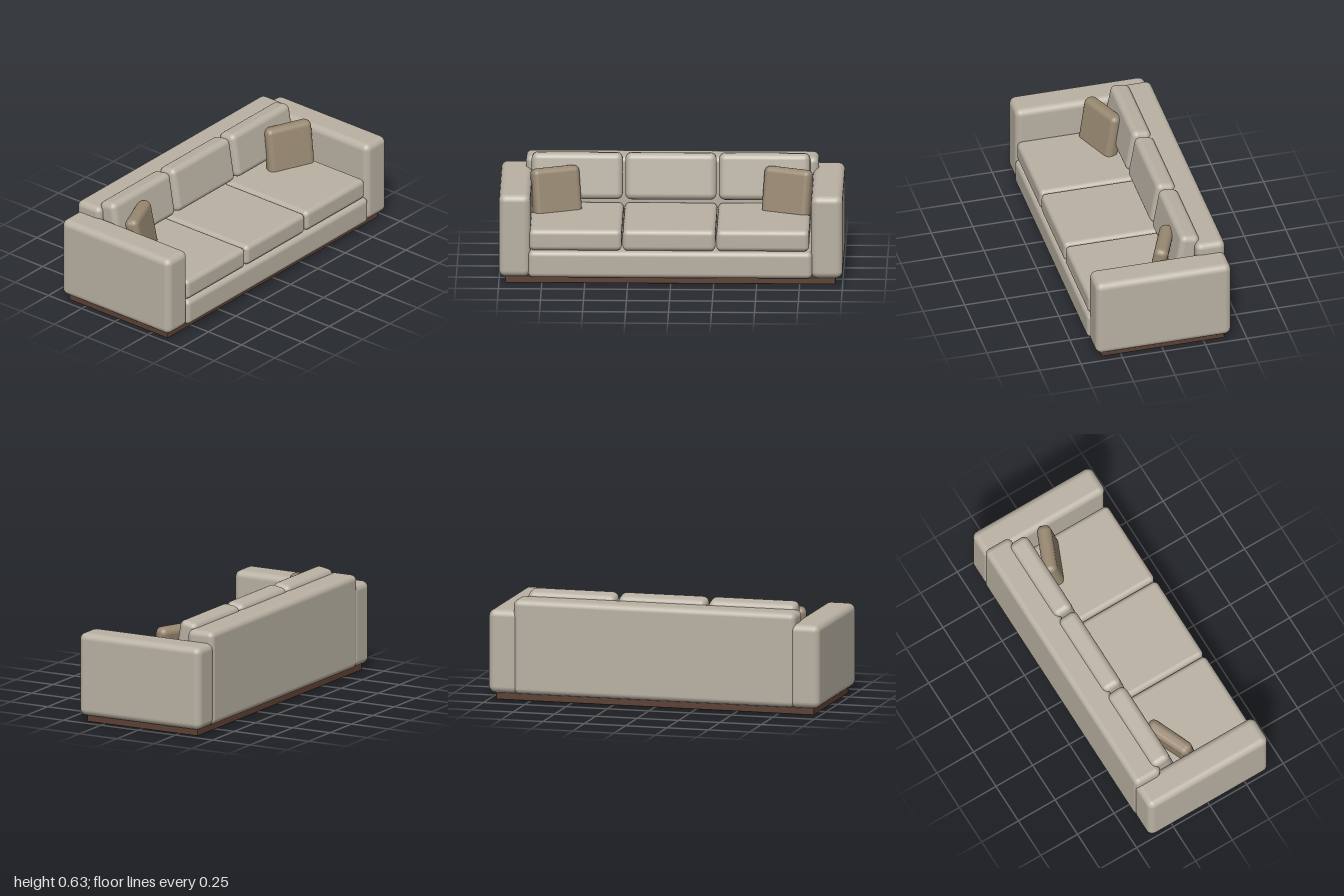
import * as THREE from 'three';
import { RoundedBoxGeometry } from 'three/addons/geometries/RoundedBoxGeometry.js';

export function createModel() {
  const group = new THREE.Group();
  const mat = (name, color) => {
    const m = new THREE.MeshStandardMaterial({ color });
    m.name = name;
    return m;
  };
  const fabric = mat('beige fabric', 0xb9b1a3);
  const accent = mat('brown fabric', 0x988871);
  const wood = mat('dark wood', 0x5c4033);

  // Soft block: size, centre, edge radius
  const block = (name, material, [w, h, d], [x, y, z], r) => {
    const mesh = new THREE.Mesh(new RoundedBoxGeometry(w, h, d, 3, r), material);
    mesh.name = name;
    mesh.position.set(x, y, z);
    group.add(mesh);
    return mesh;
  };

  // Plinth and upholstered frame
  block('plinth', wood, [1.92, 0.04, 0.742], [-0.002, 0.02, -0.004], 0.004);
  block('seatBase', fabric, [1.654, 0.16, 0.8], [-0.003, 0.12, 0.013], 0.03);
  block('backrest', fabric, [1.704, 0.558, 0.175], [-0.003, 0.319, -0.3245], 0.035);
  for (const side of [-1, 1]) {
    const name = side > 0 ? 'leftArm' : 'rightArm';
    block(name, fabric, [0.184, 0.493, 0.814], [side * 0.908, 0.2865, -0.002], 0.04);
  }

  // Three seat cushions, each with a back cushion leaning on the backrest
  for (let i = -1; i <= 1; i++) {
    const x = -0.01 + i * 0.545;
    block('seatCushion', fabric, [0.54, 0.127, 0.65], [x, 0.2635, 0.077], 0.03);
    const back = block('backCushion', fabric, [0.53, 0.272, 0.119], [x, 0.496, -0.196], 0.036);
    back.rotation.x = -0.17;
  }

  // Throw pillows turned inward in the two corners
  for (const side of [-1, 1]) {
    const pillow = block('throwPillow', accent, [0.296, 0.29, 0.085],
      [-0.003 + side * 0.673, 0.433, -0.067], 0.035);
    pillow.rotation.order = 'YXZ';
    pillow.rotation.set(-0.18, -side * 0.4, 0);
  }
  return group;
}
